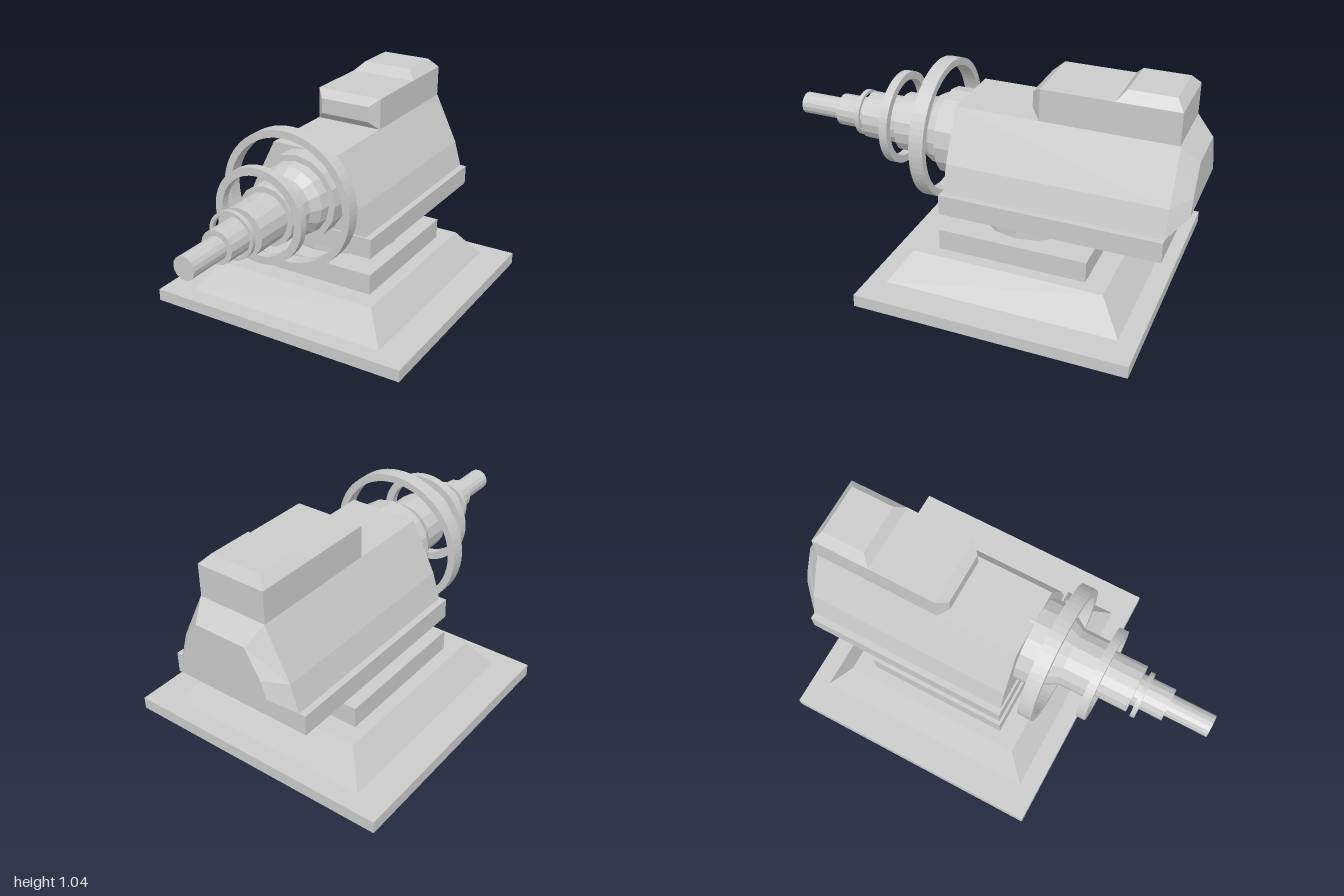
import * as THREE from 'three';

const material = new THREE.MeshStandardMaterial({ color: 0xcccccc, flatShading: true });
const AXIS_X = 0.01, AXIS_Y = 0.642;

// Solid through matching convex loops; loops run counter-clockwise seen from the first one's outside.
function loft(sections) {
  const n = sections[0].length, last = (sections.length - 1) * n, index = [];
  for (let s = 0; s < sections.length - 1; s++) {
    for (let i = 0; i < n; i++) {
      const a = s * n + i, b = s * n + (i + 1) % n;
      index.push(a, a + n, b, b, a + n, b + n);
    }
  }
  for (let i = 1; i < n - 1; i++) {
    index.push(0, i, i + 1, last, last + i + 1, last + i);
  }
  const geometry = new THREE.BufferGeometry();
  geometry.setAttribute('position', new THREE.Float32BufferAttribute(sections.flat(2), 3));
  geometry.setIndex(index);
  const flat = geometry.toNonIndexed();
  flat.computeVertexNormals();
  return flat;
}

// Horizontal rectangle with half width x, running from z0 (back) to z1 (front)
const level = (y, x, z0, z1) => [[-x, y, z1], [x, y, z1], [x, y, z0], [-x, y, z0]];
// Upright rectangle facing the front
const upright = (z, x, y0, y1) => [[-x, y0, z], [x, y0, z], [x, y1, z], [-x, y1, z]];
// Mirrored housing outline from its right-hand half, listed bottom to top
const mirrored = (z, half) => [
  ...half.map(([x, y]) => [x, y, z]),
  ...half.slice().reverse().map(([x, y]) => [-x, y, z]),
];

export function createModel() {
  const model = new THREE.Group();
  const add = (name, geometry, parent = model) => {
    const mesh = new THREE.Mesh(geometry, material);
    mesh.name = name;
    parent.add(mesh);
    return mesh;
  };
  const slab = (name, x, y0, y1, z0, z1) =>
    add(name, loft([level(y1, x, z0, z1), level(y0, x, z0, z1)]));

  // Stepped pedestal
  slab('basePlate', 0.67, 0, 0.06, -0.89, 0.405);
  add('slopedPlinth', loft([level(0.2, 0.42, -0.695, 0.215), level(0.06, 0.52, -0.8, 0.315)]));
  slab('plinthSlab', 0.357, 0.2, 0.3, -0.595, 0.115);

  // Swivel between pedestal and housing
  const swivel = add('swivel', new THREE.CylinderGeometry(1, 1, 0.09, 16));
  swivel.scale.set(0.29, 1, 0.267);
  swivel.position.set(0, 0.342, -0.238);
  slab('housingFloor', 0.357, 0.385, 0.482, -0.92, 0.115);

  // Tapered housing with a bevelled tail
  const outline = [[0.325, 0.482], [0.287, 0.61], [0.17, 0.848]];
  const tail = [[0.23, 0.56], [0.203, 0.64], [0.13, 0.77]];
  add('housing', loft([mirrored(0.105, outline), mirrored(-0.92, outline), mirrored(-1, tail)]));

  // Box on the roof with a bevelled nose and a raised cap
  add('roofBox', loft([
    upright(-0.247, 0.128, 0.89, 0.965),
    upright(-0.292, 0.17, 0.846, 1),
    upright(-0.917, 0.17, 0.846, 1),
  ]));
  add('roofCap', loft([level(1.045, 0.126, -0.88, -0.667), level(1, 0.17, -0.917, -0.627)]));

  // Stepped barrel: pairs of radius and distance along z
  const barrel = new THREE.Group();
  barrel.name = 'barrelAssembly';
  barrel.position.set(AXIS_X, AXIS_Y, 0);
  model.add(barrel);
  const profile = [
    [0, 0.08], [0.208, 0.08], [0.208, 0.2], [0.178, 0.2], [0.172, 0.25], [0.142, 0.3],
    [0.142, 0.44], [0.115, 0.44], [0.115, 0.63], [0.078, 0.63], [0.078, 0.79],
    [0.053, 0.79], [0.053, 1], [0, 1],
  ].map(([r, z]) => new THREE.Vector2(r, z));
  add('barrel', new THREE.LatheGeometry(profile, 16).rotateX(Math.PI / 2), barrel);

  // Free hoops around the barrel: outer radius, inner radius, back, front, centre height
  [
    ['largeHoop', 0.336, 0.301, 0.2, 0.27, 0.645],
    ['middleHoop', 0.225, 0.188, 0.44, 0.482, 0.655],
    ['smallHoop', 0.112, 0.096, 0.654, 0.676, 0.643],
  ].forEach(([name, outer, inner, z0, z1, y]) => {
    const shape = new THREE.Shape().absarc(0, 0, outer, 0, Math.PI * 2);
    shape.holes.push(new THREE.Path().absarc(0, 0, inner, 0, Math.PI * 2, true));
    const hoop = new THREE.ExtrudeGeometry(shape, { depth: z1 - z0, bevelEnabled: false, curveSegments: 32 });
    add(name, hoop).position.set(-0.003, y, z0);
  });

  return model;
}
